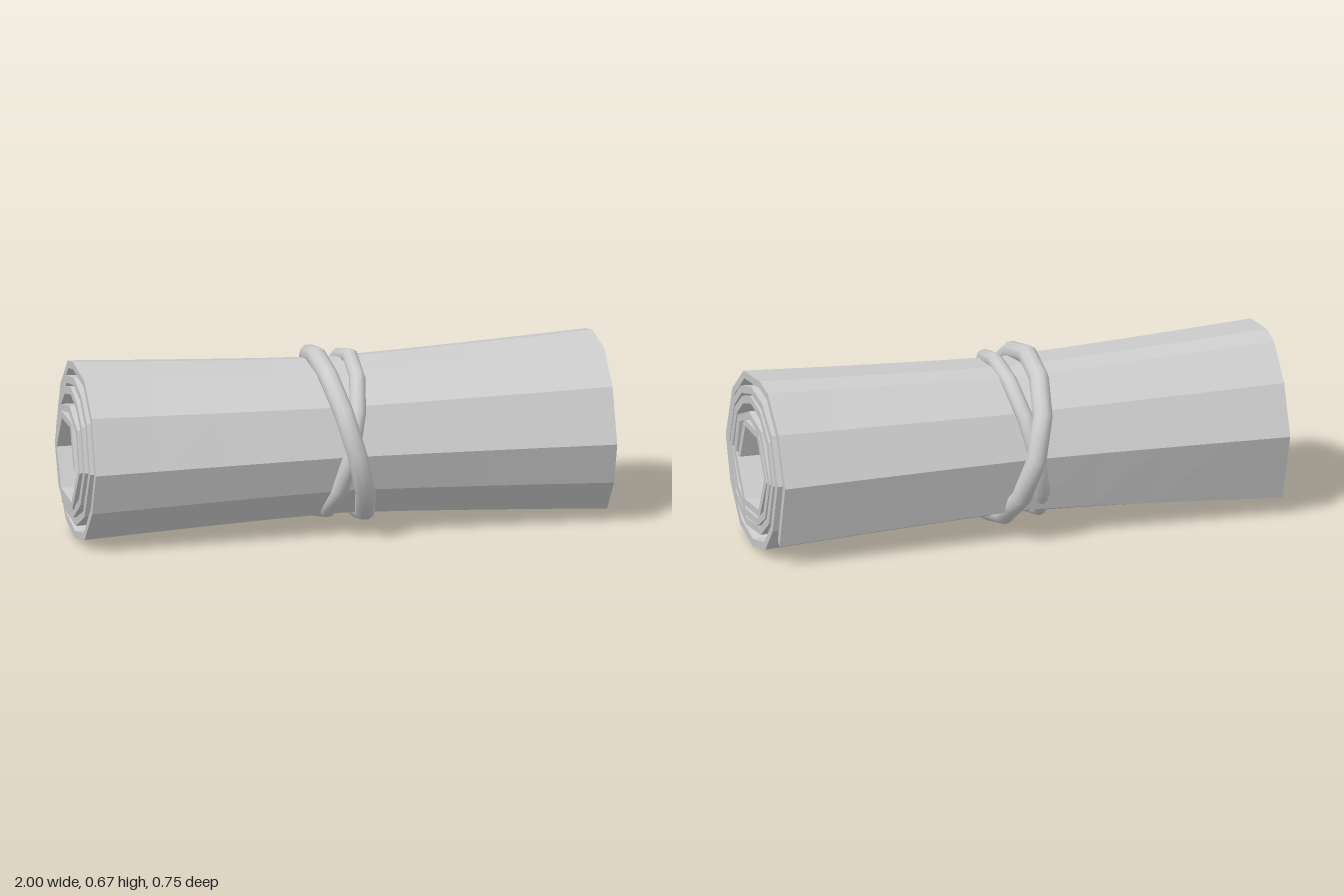
import * as THREE from 'three';

const CENTER_Y = 0.335;
const THICKNESS = 0.028;

// Rolled sheet outline at the ends, from the core outwards, as [z, y]
const SPIRAL = [
  [0.165, 0.305], [0.095, 0.47], [-0.073, 0.47], [-0.175, 0.31], [-0.09, 0.15], [0.095, 0.14],
  [0.215, 0.31], [0.17, 0.46], [0.035, 0.518], [-0.11, 0.485], [-0.212, 0.315], [-0.155, 0.165],
  [-0.07, 0.11], [0.08, 0.105], [0.19, 0.18],
  [0.26, 0.32], [0.205, 0.48], [0.12, 0.55], [0.015, 0.582], [-0.1, 0.555], [-0.195, 0.47],
  [-0.25, 0.32], [-0.195, 0.155], [-0.1, 0.085], [0.075, 0.07], [0.21, 0.14],
  [0.3, 0.325], [0.24, 0.5], [0.145, 0.582], [0.02, 0.617], [-0.11, 0.594], [-0.22, 0.505],
  [-0.29, 0.33], [-0.23, 0.14], [-0.14, 0.04], [0.01, 0.005], [0.165, 0.04], [0.285, 0.17],
  [0.342, 0.33], [0.27, 0.53], [0.14, 0.64], [-0.05, 0.66], [-0.14, 0.642], [-0.265, 0.52],
  [-0.34, 0.335], [-0.268, 0.09],
];

// The roll is pinched at the middle
const pinch = (x) => 0.865 + 0.135 * Math.pow(Math.abs(x), 1.2);

function rolledSheet(lengthSegments) {
  const last = SPIRAL.length - 1;
  const positions = [];

  // Corner of the sheet: i along the spiral, j along the length, inset towards the core
  const point = (i, j, inset) => {
    const u = i / last;
    const left = -1 + 0.045 * u;
    const right = 1 - 0.02 * u ** 4;
    const x = left + (right - left) * (j / lengthSegments);
    const z = SPIRAL[i][0];
    const y = SPIRAL[i][1] - CENTER_Y;
    const r = Math.hypot(z, y);
    const k = pinch(x) * (r - inset) / r;
    // The loose edge droops a little towards one end
    const droop = i === last ? Math.max(0, 0.04 * (0.5 - j / lengthSegments)) : 0;
    return [x, CENTER_Y + y * k - droop, z * k + droop];
  };
  const outer = (i, j) => point(i, j, 0);
  const inner = (i, j) => point(i, j, THICKNESS);
  const quad = (a, b, c, d) => positions.push(...a, ...b, ...c, ...a, ...c, ...d);

  for (let i = 0; i < last; i++) {
    for (let j = 0; j < lengthSegments; j++) {
      quad(outer(i, j), outer(i, j + 1), outer(i + 1, j + 1), outer(i + 1, j));
      quad(inner(i, j), inner(i + 1, j), inner(i + 1, j + 1), inner(i, j + 1));
    }
    // Edges at both ends of the roll
    const n = lengthSegments;
    quad(outer(i, n), inner(i, n), inner(i + 1, n), outer(i + 1, n));
    quad(outer(i, 0), outer(i + 1, 0), inner(i + 1, 0), inner(i, 0));
  }
  // Edges at the core and at the loose flap
  for (let j = 0; j < lengthSegments; j++) {
    quad(outer(last, j), outer(last, j + 1), inner(last, j + 1), inner(last, j));
    quad(outer(0, j), inner(0, j), inner(0, j + 1), outer(0, j + 1));
  }

  const geometry = new THREE.BufferGeometry();
  geometry.setAttribute('position', new THREE.Float32BufferAttribute(positions, 3));
  geometry.computeVertexNormals();
  return geometry;
}

// Closed oval cord, leaning from topX to bottomX
function cordLoop(topX, bottomX, radiusY, radiusZ, thickness) {
  const points = [];
  for (let i = 0; i < 12; i++) {
    const a = (i / 12) * Math.PI * 2;
    const x = (topX + bottomX) / 2 + ((topX - bottomX) / 2) * Math.cos(a);
    points.push(new THREE.Vector3(x, 0.345 + radiusY * Math.cos(a), radiusZ * Math.sin(a)));
  }
  const curve = new THREE.CatmullRomCurve3(points, true);
  return new THREE.TubeGeometry(curve, 12, thickness, 10, true);
}

export function createModel() {
  const group = new THREE.Group();
  const cloth = new THREE.MeshStandardMaterial({ color: 0xcccccc });
  cloth.name = 'light grey';

  const add = (name, geometry) => {
    const mesh = new THREE.Mesh(geometry, cloth);
    mesh.name = name;
    group.add(mesh);
  };

  add('rolledSheet', rolledSheet(8));
  add('outerCord', cordLoop(-0.058, 0.095, 0.291, 0.34, 0.037));
  add('innerCord', cordLoop(0.068, -0.06, 0.283, 0.305, 0.03));
  return group;
}
